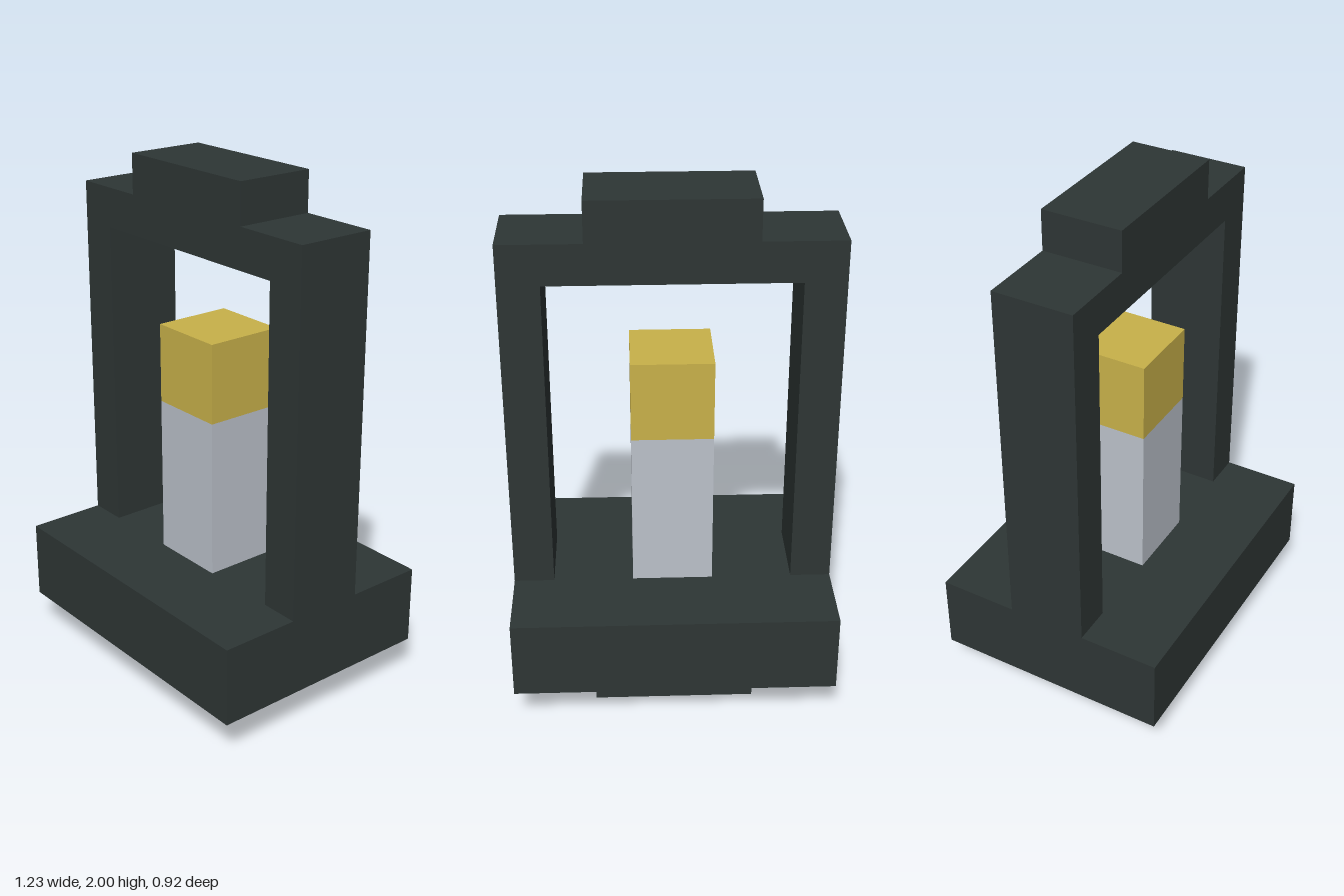
import * as THREE from 'three';

// Everything sits on a 13-step grid over the height of 2
const U = 2 / 13;

export function createModel() {
  const model = new THREE.Group();
  model.name = 'lantern';

  const material = (name, color) => {
    const m = new THREE.MeshStandardMaterial({ color });
    m.name = name;
    return m;
  };
  const darkMetal = material('darkMetal', 0x2e3635);
  const paleWax = material('paleWax', 0xbcc2cb);
  const yellowGlow = material('yellowGlow', 0xc9b24a);

  const add = (name, geometry, mat) => {
    const mesh = new THREE.Mesh(geometry, mat);
    mesh.name = name;
    model.add(mesh);
    return mesh;
  };

  // Box in grid steps, resting on height y
  const block = (name, w, h, d, y, mat) => {
    add(name, new THREE.BoxGeometry(w * U, h * U, d * U), mat).position.y = (y + h / 2) * U;
  };

  // Foot and base slab
  block('foot', 4, 1, 4, 0, darkMetal);
  block('base', 8, 2, 6, 1, darkMetal);

  // Candle and its glowing top
  block('candle', 2, 4, 2, 3, paleWax);
  block('flame', 2, 2, 2, 7, yellowGlow);

  // Arch of two posts, crossbar and raised cap, as one outline
  const outline = [
    [-4, 3], [-3, 3], [-3, 11], [3, 11], [3, 3], [4, 3],
    [4, 12], [2, 12], [2, 13], [-2, 13], [-2, 12], [-4, 12],
  ].map(([x, y]) => new THREE.Vector2(x * U, y * U));
  const arch = new THREE.ExtrudeGeometry(new THREE.Shape(outline), {
    depth: 2 * U,
    bevelEnabled: false,
  });
  arch.translate(0, 0, -U);
  add('frame', arch, darkMetal);

  return model;
}
